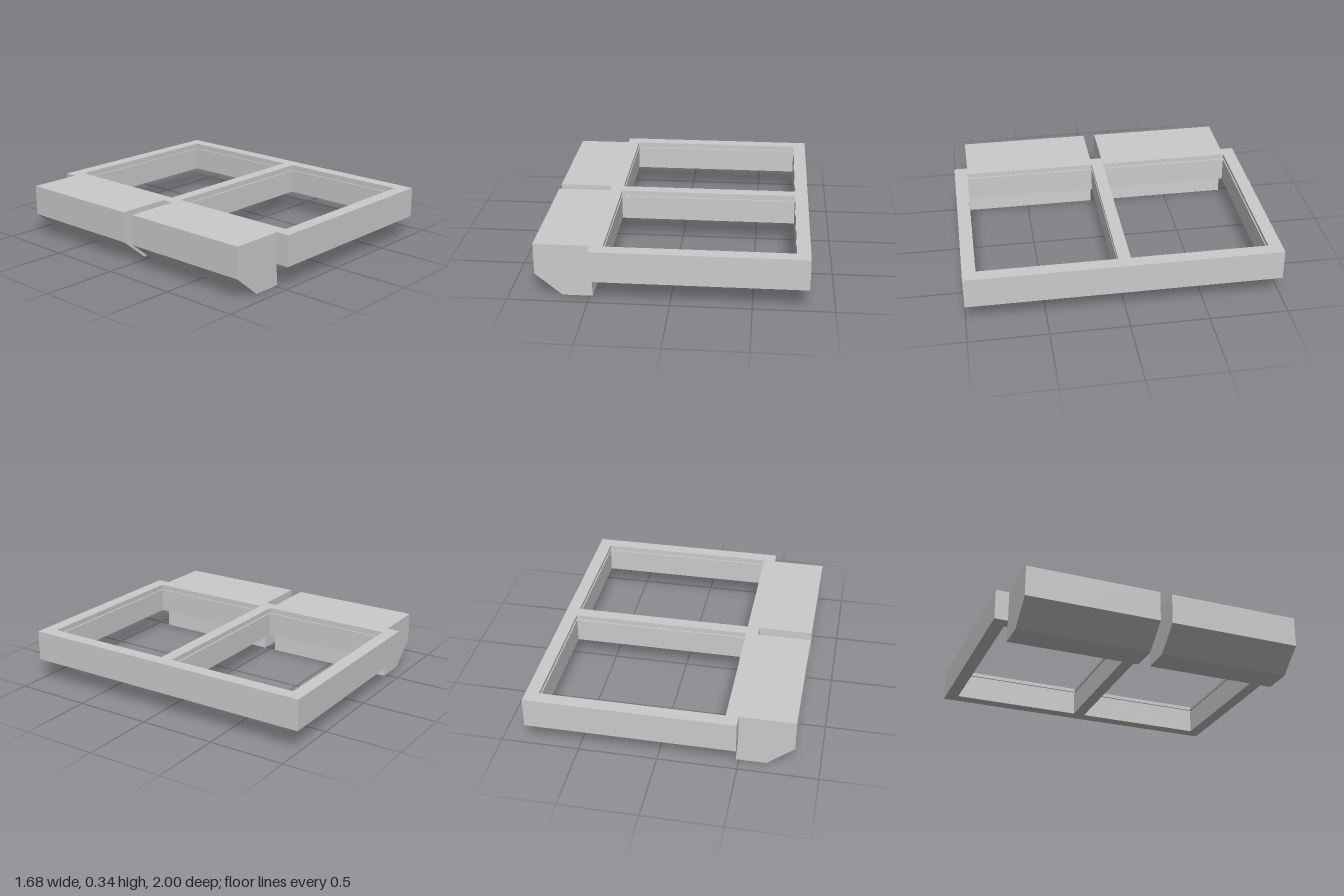
import * as THREE from 'three';

const material = new THREE.MeshStandardMaterial({ color: 0xcccccc, flatShading: true });

function rectangle(Type, x0, x1, z0, z1) {
  return new Type([
    new THREE.Vector2(x0, z0), new THREE.Vector2(x1, z0),
    new THREE.Vector2(x1, z1), new THREE.Vector2(x0, z1),
  ]);
}

// One horizontal slice of the two-bay frame; inset widens both openings.
function frameLayer(name, y0, y1, inset) {
  const shape = rectangle(THREE.Shape, -0.49, 0.84, -1, 1);
  for (const [z0, z1] of [[-0.915, -0.04], [0.04, 0.915]]) {
    shape.holes.push(rectangle(THREE.Path, -0.41 - inset, 0.755 + inset, z0 - inset, z1 + inset));
  }
  const geometry = new THREE.ExtrudeGeometry(shape, { depth: y1 - y0, bevelEnabled: false });
  geometry.rotateX(-Math.PI / 2).translate(0, y0, 0);
  const mesh = new THREE.Mesh(geometry, material);
  mesh.name = name;
  return mesh;
}

// Chamfered block hanging below the frame's edge.
function hangingBlock(name, z0, z1) {
  const profile = new THREE.Shape([
    [-0.84, 0.34], [-0.84, 0.14], [-0.67, 0], [-0.48, 0], [-0.488, 0.14], [-0.488, 0.34],
  ].map(([x, y]) => new THREE.Vector2(x, y)));
  const geometry = new THREE.ExtrudeGeometry(profile, { depth: z1 - z0, bevelEnabled: false });
  geometry.translate(0, 0, z0);
  const mesh = new THREE.Mesh(geometry, material);
  mesh.name = name;
  return mesh;
}

export function createModel() {
  const model = new THREE.Group();
  model.name = 'doubleFrame';

  // Frame with a shallow groove running round the inside of each opening
  const frame = new THREE.Group();
  frame.name = 'frame';
  frame.add(
    frameLayer('frameBody', 0.14, 0.3, 0),
    frameLayer('frameGroove', 0.3, 0.315, 0.01),
    frameLayer('frameTopLip', 0.315, 0.34, 0),
  );
  model.add(frame);

  // Pair of blocks with a gap between them
  model.add(hangingBlock('frontBlock', 0.04, 0.913), hangingBlock('backBlock', -0.913, -0.04));
  return model;
}
